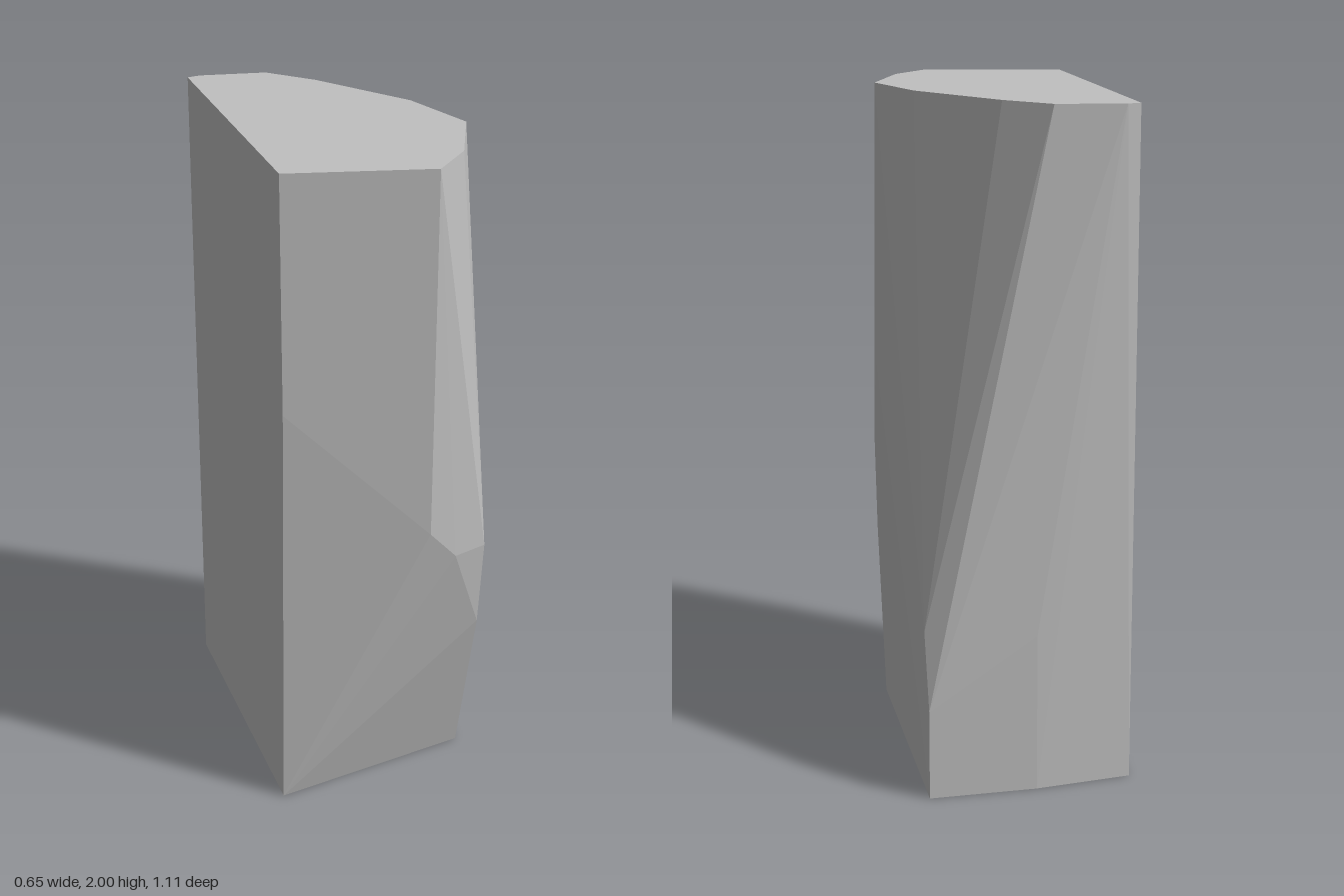
import * as THREE from 'three';
import { ConvexGeometry } from 'three/addons/geometries/ConvexGeometry.js';

const stone = new THREE.MeshStandardMaterial({ color: 0xc0c0c0 });
stone.name = 'pale grey stone';

// Level rings of corners, as [x, z] pairs
const topRing = [
  [-0.325, -0.515], [-0.285, -0.525], [-0.085, -0.495], [0.035, -0.37], [0.235, -0.075],
  [0.313, 0.175], [0.21, 0.425], [0.095, 0.553], [-0.325, 0.46],
];
const baseRing = [
  [-0.325, 0.42], [0.285, 0.29], [0.285, -0.555], [-0.035, -0.55], [-0.325, -0.515],
];

// Chipped corners between the rings, as [x, y, z]
const chips = [
  [0.09, 0.9, 0.547], [0.18, 0.8, 0.518], [0.285, 0.8, 0.48], [0.285, 0.52, 0.44], // front
  [0.322, 1.15, 0.175],                                                          // left bulge
  [0.29, 0.5, -0.51], [0.285, 0.27, -0.555], [-0.035, 0.48, -0.55],              // back
  [-0.325, 1.3, 0.465],                                                          // front right edge
];

const ring = (pairs, y) => pairs.map(([x, z]) => new THREE.Vector3(x, y, z));

export function createModel() {
  const group = new THREE.Group();
  group.name = 'facetedStone';

  // One convex faceted block with flat faces
  const points = [
    ...ring(topRing, 2),
    ...ring(baseRing, 0),
    ...chips.map((p) => new THREE.Vector3(...p)),
  ];
  const block = new THREE.Mesh(new ConvexGeometry(points), stone);
  block.name = 'stoneBlock';
  group.add(block);
  return group;
}
